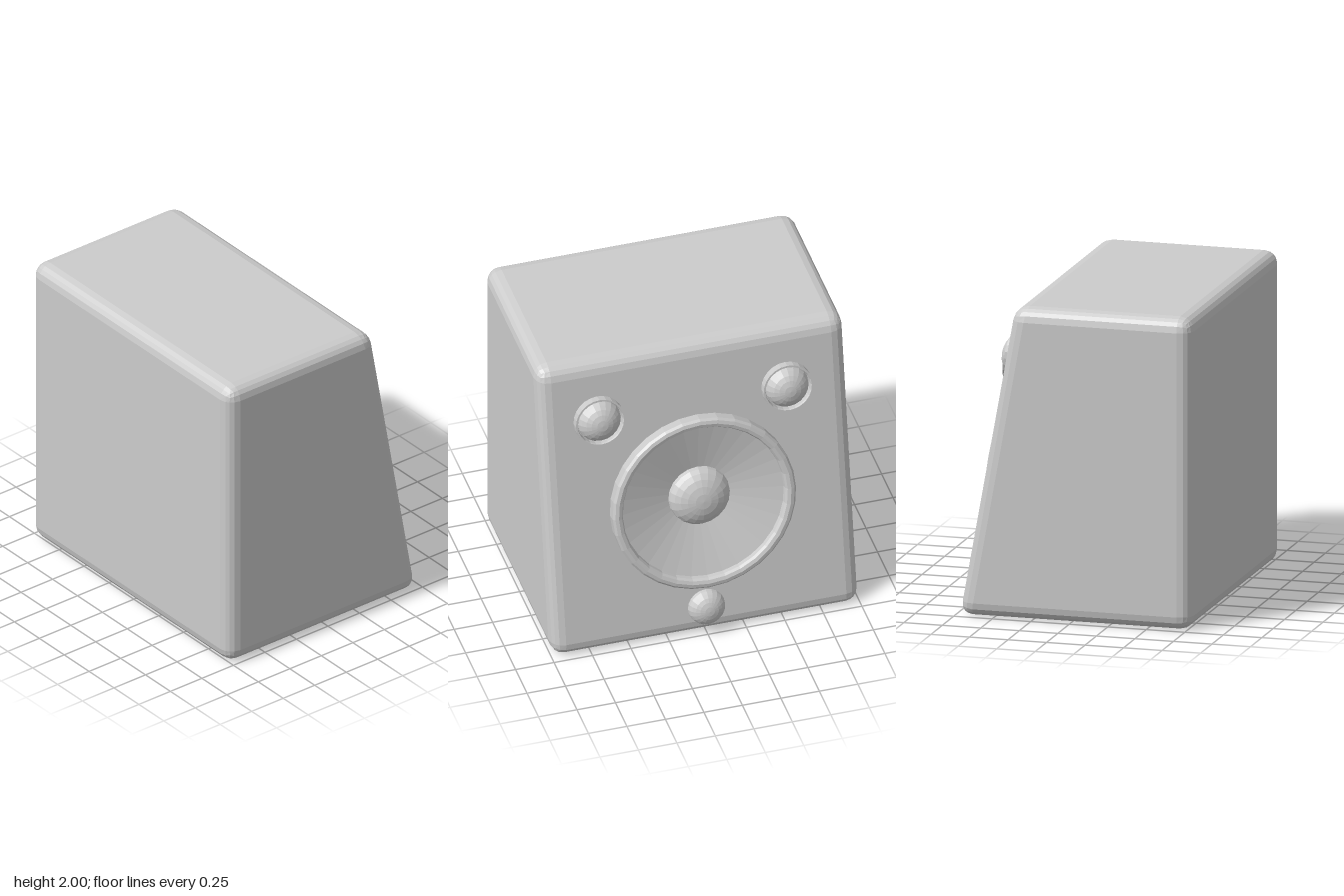
import * as THREE from 'three';
import { RoundedBoxGeometry } from 'three/addons/geometries/RoundedBoxGeometry.js';

const material = new THREE.MeshStandardMaterial({ color: 0xcccccc, flatShading: true, side: THREE.DoubleSide });

const SLOPE = 0.18;               // how far the baffle leans back per unit of height
const TILT = Math.atan(SLOPE);
const R = 0.09;                   // edge rounding
const CENTRE_Y = 0.93;            // height of the main driver
const baffleX = (y) => 0.715 - SLOPE * (y - R);

function addMesh(parent, name, geometry) {
  const mesh = new THREE.Mesh(geometry, material);
  mesh.name = name;
  parent.add(mesh);
  return mesh;
}

// Turned part whose axis points out of the baffle (+z); points are [radius, height]
function turned(points, sides) {
  const profile = points.map(([r, h]) => new THREE.Vector2(r, h));
  return new THREE.LatheGeometry(profile, sides).rotateX(Math.PI / 2);
}

// Flattened half sphere bulging toward +z
function dome(radius, height) {
  return new THREE.SphereGeometry(radius, 20, 6, 0, Math.PI * 2, 0, Math.PI / 2)
    .rotateX(Math.PI / 2)
    .scale(1, 1, height / radius);
}

// Rounded box with its +x side sheared back; the flat of that side is left open for the baffle
function cabinetGeometry() {
  const left = -0.785;
  const right = baffleX(1);
  const half = (right - left) / 2;
  const source = new RoundedBoxGeometry(half * 2, 2, 2, 2, R).getAttribute('position');
  const kept = [];
  for (let i = 0; i < source.count; i += 3) {
    const corners = [0, 1, 2].map((k) => new THREE.Vector3().fromBufferAttribute(source, i + k));
    if (corners.every((p) => p.x > half - 1e-4)) continue;
    for (const p of corners) {
      const lean = p.x > 0 ? -SLOPE * p.y : 0;
      kept.push(p.x + lean + (left + right) / 2, p.y + 1, p.z);
    }
  }
  const geometry = new THREE.BufferGeometry();
  geometry.setAttribute('position', new THREE.Float32BufferAttribute(kept, 3));
  geometry.computeVertexNormals();
  return geometry;
}

export function createModel() {
  const model = new THREE.Group();
  model.name = 'speaker';
  addMesh(model, 'cabinet', cabinetGeometry());

  // Leaning frame: local z points out of the baffle, local y runs up along it
  const front = new THREE.Group();
  front.name = 'frontPanel';
  front.position.set(baffleX(CENTRE_Y), CENTRE_Y, 0);
  front.rotation.set(-TILT, Math.PI / 2, 0, 'YXZ');
  model.add(front);
  const along = (y) => (y - CENTRE_Y) / Math.cos(TILT);

  // Baffle plate with the opening for the main driver
  const plate = new THREE.Shape();
  plate.moveTo(-1 + R, along(R));
  plate.lineTo(1 - R, along(R));
  plate.lineTo(1 - R, along(2 - R));
  plate.lineTo(-1 + R, along(2 - R));
  plate.closePath();
  plate.holes.push(new THREE.Path().absarc(0.013, 0, 0.56, 0, Math.PI * 2, true));
  addMesh(front, 'baffle', new THREE.ShapeGeometry(plate, 16));

  // Main driver: raised ring, sunken cone and dust cap
  const woofer = new THREE.Group();
  woofer.name = 'mainDriver';
  woofer.position.x = 0.013;
  front.add(woofer);
  addMesh(woofer, 'driverRing', turned([
    [0.595, -0.01], [0.595, 0.065], [0.582, 0.08], [0.56, 0.085],
    [0.538, 0.078], [0.528, 0.06], [0.525, 0.03],
  ], 32));
  addMesh(woofer, 'cone', turned([[0.525, 0.03], [0.18, -0.06], [0, -0.06]], 32));
  addMesh(woofer, 'dustCap', dome(0.2, 0.115)).position.z = -0.06;

  // Two small drivers near the top corners
  for (const u of [-0.62, 0.6]) {
    const tweeter = new THREE.Group();
    tweeter.name = 'smallDriver';
    tweeter.position.set(u, along(1.605), 0);
    front.add(tweeter);
    addMesh(tweeter, 'smallDriverRim', turned([
      [0.162, -0.01], [0.162, 0.055], [0.15, 0.055], [0.146, 0.045], [0.146, -0.01],
    ], 24));
    addMesh(tweeter, 'smallDriverDome', dome(0.142, 0.105));
  }

  // Round knob at the bottom
  addMesh(front, 'knob', dome(0.12, 0.085)).position.set(0.005, along(0.183), 0);

  return model;
}
